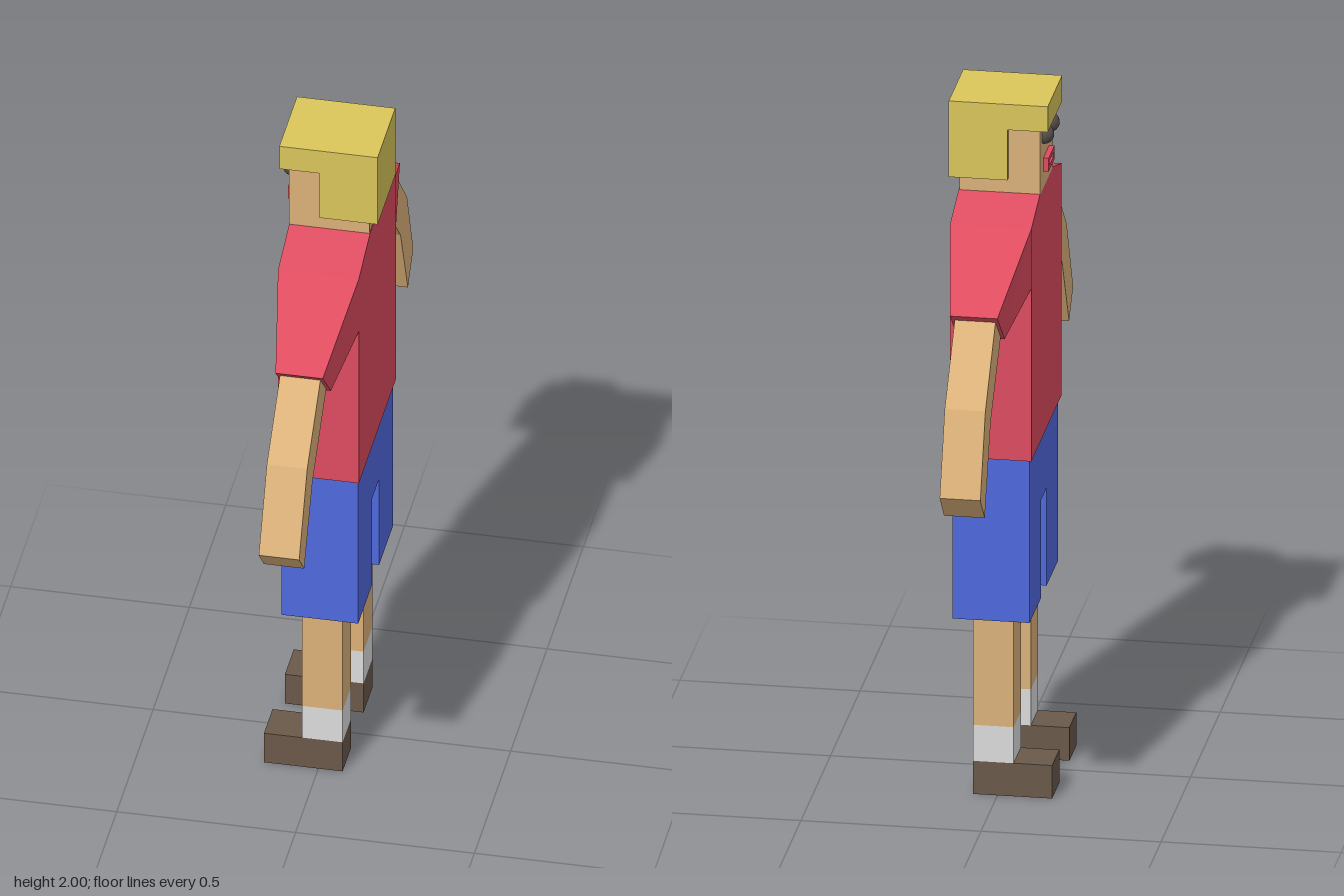
import * as THREE from 'three';

const mat = (name, color) => new THREE.MeshStandardMaterial({ name, color });

export function createModel() {
  const skin = mat('skin', 0xdcb27a);
  const shirtRed = mat('shirtRed', 0xde4c60);
  const shortsBlue = mat('shortsBlue', 0x5069de);
  const hairBlond = mat('hairBlond', 0xdac65a);
  const sockWhite = mat('sockWhite', 0xdcdcdc);
  const shoeBrown = mat('shoeBrown', 0x6a594a);
  const eyeDark = mat('eyeDark', 0x57504a);
  const mouthDark = mat('mouthDark', 0x7a2430);

  const model = new THREE.Group();
  model.name = 'blockyPerson';

  const add = (name, geometry, material) => {
    const mesh = new THREE.Mesh(geometry, material);
    mesh.name = name;
    model.add(mesh);
    return mesh;
  };
  // Box between two limits on each axis
  const box = (name, material, [x0, x1], [y0, y1], [z0, z1]) =>
    add(name, new THREE.BoxGeometry(x1 - x0, y1 - y0, z1 - z0)
      .translate((x0 + x1) / 2, (y0 + y1) / 2, (z0 + z1) / 2), material);
  const extrude = (points, depth) => new THREE.ExtrudeGeometry(
    new THREE.Shape(points.map(([a, b]) => new THREE.Vector2(a, b))),
    { depth, bevelEnabled: false });
  // Outline of [z, y] points, extruded along x
  const slab = (name, material, points, [x0, x1]) =>
    add(name, extrude(points, x1 - x0).rotateY(-Math.PI / 2).translate(x1, 0, 0), material);

  const limbX = [-0.045, 0.068];
  const bodyX = [-0.102, 0.124];

  // Shirt body with sloping shoulders
  slab('shirtBody', shirtRed, [
    [-0.271, 1.005], [0.239, 1.005], [0.239, 1.687], [0.082, 1.735],
    [-0.115, 1.735], [-0.271, 1.687],
  ], bodyX);

  // Tapered sleeve: a box whose corners move to a wide root and a narrow cuff
  const sleeve = (name, side, rootZ, cuffTop, cuffBottom) => {
    const g = new THREE.BoxGeometry(1, 1, 1).toNonIndexed();
    const p = g.attributes.position;
    for (let i = 0; i < p.count; i++) {
      const outer = p.getZ(i) * side > 0;
      const top = p.getY(i) > 0;
      const x = (outer ? [-0.054, 0.078] : bodyX)[p.getX(i) > 0 ? 1 : 0];
      const [z, y] = outer ? (top ? cuffTop : cuffBottom) : [rootZ, top ? 1.687 : 1.512];
      p.setXYZ(i, x, y, z);
    }
    g.computeVertexNormals();
    add(name, g, shirtRed);
  };
  sleeve('sleeveA', 1, 0.239, [0.51, 1.533], [0.398, 1.416]);
  sleeve('sleeveB', -1, -0.271, [-0.552, 1.528], [-0.43, 1.422]);

  // Bent arms
  slab('armA', skin, [
    [0.45, 1.555], [0.376, 1.465], [0.6, 1.252], [0.716, 1.038], [0.785, 1.114], [0.674, 1.342],
  ], limbX);
  slab('armB', skin, [
    [-0.49, 1.553], [-0.408, 1.468], [-0.61, 1.247], [-0.711, 1.003], [-0.785, 1.082], [-0.7, 1.312],
  ], limbX);

  // Shorts with a gap between the legs
  slab('shorts', shortsBlue, [
    [-0.257, 0.525], [-0.064, 0.525], [-0.064, 0.812], [0.032, 0.812],
    [0.032, 0.525], [0.223, 0.525], [0.223, 1.005], [-0.257, 1.005],
  ], [-0.095, 0.119]);

  // Legs, socks and shoes
  for (const [tag, z] of [['A', [0.069, 0.187]], ['B', [-0.223, -0.101]]]) {
    box('leg' + tag, skin, limbX, [0.203, 0.53], z);
    box('sock' + tag, sockWhite, limbX, [0.097, 0.203], z);
    box('shoe' + tag, shoeBrown, [-0.152, 0.068], [0, 0.097], z);
  }

  // Head, and hair with a fringe over the face
  box('head', skin, [-0.102, 0.122], [1.73, 1.97], [-0.122, 0.085]);
  add('hair', extrude([
    [-0.015, 1.777], [0.148, 1.777], [0.148, 2], [-0.127, 2], [-0.127, 1.925], [-0.015, 1.925],
  ], 0.243).translate(0, 0, -0.144), hairBlond);

  // Eyes
  for (const z of [-0.066, 0.026]) {
    add('eye', new THREE.SphereGeometry(0.028, 16, 12), eyeDark).position.set(-0.104, 1.89, z);
  }

  // Mouth: a lip frame around a dark opening
  box('mouthOpening', mouthDark, [-0.108, -0.1], [1.785, 1.815], [-0.06, 0.02]);
  for (const y of [1.78, 1.806]) box('lip', shirtRed, [-0.117, -0.1], [y, y + 0.013], [-0.068, 0.03]);
  for (const z of [-0.068, 0.015]) box('mouthCorner', shirtRed, [-0.117, -0.1], [1.793, 1.806], [z, z + 0.015]);

  return model;
}
